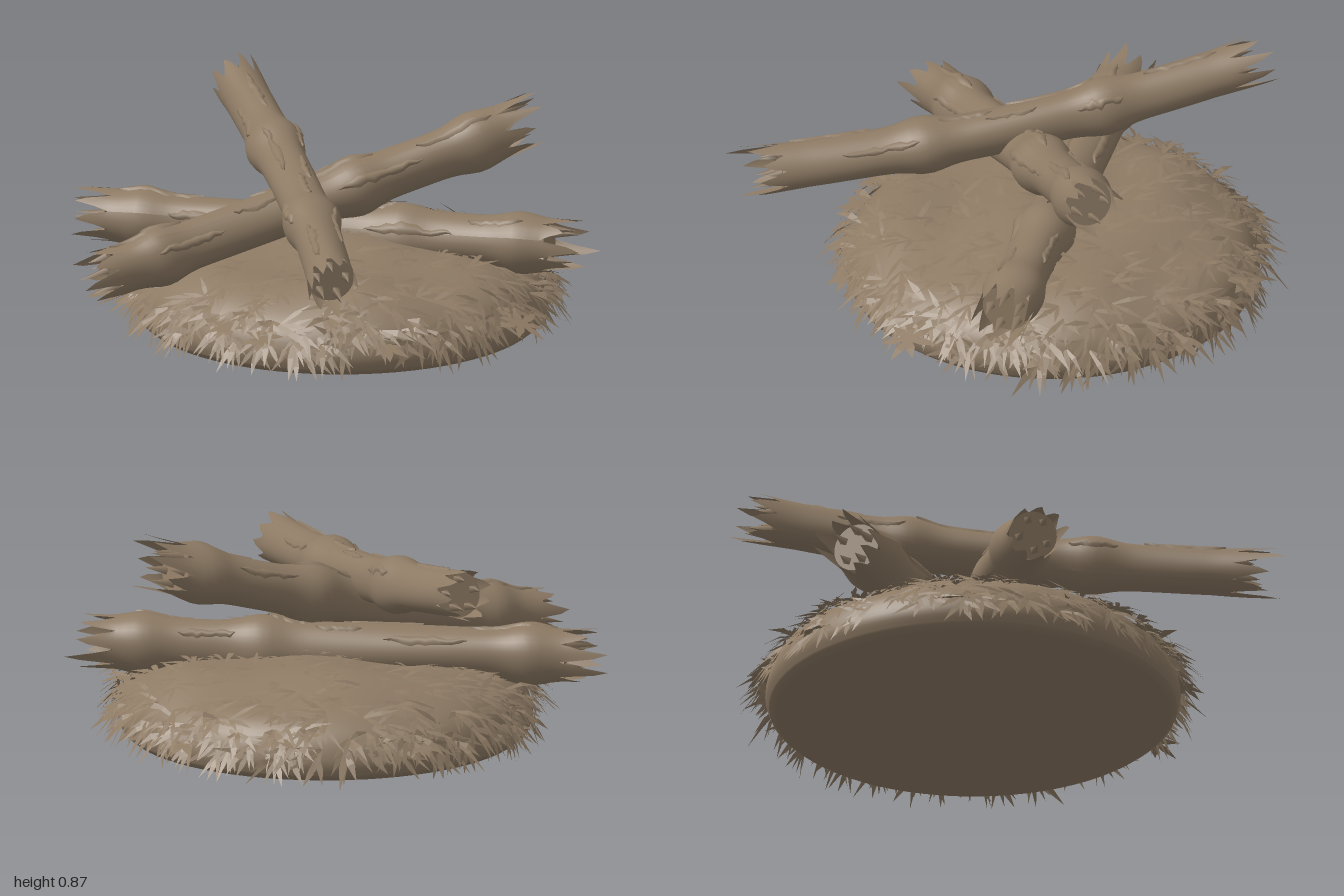
import * as THREE from 'three';

const V = (x, y, z) => new THREE.Vector3(x, y, z);

// small seeded random generator
let seed = 7;
const rnd = (a = 0, b = 1) => {
  seed = (seed * 16807) % 2147483647;
  return a + (b - a) * (seed / 2147483647);
};

// upper outline of the straw mound, from rim to crown
const outline = new THREE.SplineCurve([
  [0.765, 0.05], [0.78, 0.11], [0.745, 0.2], [0.65, 0.27], [0.48, 0.325], [0.25, 0.35], [0, 0.355],
].map(([r, y]) => new THREE.Vector2(r, y)));

// soft lumps on the mound, fading out towards the rim
const lump = (x, z) => {
  const fade = THREE.MathUtils.clamp((0.78 - Math.hypot(x, z)) * 5, 0, 1);
  return fade * (0.018 * Math.sin(8 * x + 1) * Math.cos(7 * z) + 0.012 * Math.sin(13 * z + 5 * x));
};

const moundPoint = (s, a) => {
  const p = outline.getPoint(s), x = p.x * Math.sin(a), z = p.x * Math.cos(a);
  return V(x, p.y + lump(x, z), z);
};

function buildMound(mat) {
  const base = [[0, 0.003], [0.4, 0.007], [0.66, 0.016], [0.74, 0.03]].map(([r, y]) => new THREE.Vector2(r, y));
  const geo = new THREE.LatheGeometry([...base, ...outline.getPoints(28)], 72);
  const p = geo.attributes.position;
  for (let i = 0; i < p.count; i++) {
    if (p.getY(i) > 0.12) p.setY(i, p.getY(i) + lump(p.getX(i), p.getZ(i)));
  }
  geo.computeVertexNormals();
  const mesh = new THREE.Mesh(geo, mat);
  mesh.name = 'strawMound';
  return mesh;
}

// one bent leaf, appended as three triangles
function addBlade(out, root, dir, normal, length, width, sag) {
  const side = dir.clone().cross(normal).normalize().multiplyScalar(width / 2);
  const mid = root.clone().addScaledVector(dir, length * 0.5);
  const tip = root.clone().addScaledVector(dir, length);
  tip.y = Math.max(0.03, tip.y - sag);
  const a = root.clone().addScaledVector(side, 0.45), b = root.clone().addScaledVector(side, -0.45);
  const c = mid.clone().add(side), d = mid.clone().sub(side);
  for (const v of [a, c, b, b, c, d, d, c, tip]) out.push(v.x, v.y, v.z);
}

// a fan of leaves growing from one point of the mound
function addTuft(out, s, angle, { count, length, width, lift, spread, turn, sag }) {
  const p = moundPoint(s, angle);
  const down = moundPoint(Math.max(s - 0.03, 0), angle).sub(moundPoint(Math.min(s + 0.03, 1), angle)).normalize();
  const around = V(Math.cos(angle), 0, -Math.sin(angle));
  const normal = around.clone().cross(down).normalize();
  if (normal.y < 0) normal.negate();
  p.addScaledVector(normal, 0.005);
  for (let i = 0; i < count; i++) {
    const f = turn + (i - (count - 1) / 2) * spread + rnd(-0.2, 0.2);
    const dir = down.clone().multiplyScalar(Math.cos(f)).addScaledVector(around, Math.sin(f))
      .addScaledVector(normal, lift * rnd(0.3, 1.3)).normalize();
    addBlade(out, p, dir, normal, length * rnd(0.65, 1.2), width * rnd(0.75, 1.25), sag);
  }
}

// a flat star of leaves hanging out beyond the rim
function addStar(out, r, y, angle, size) {
  const outward = V(Math.sin(angle), -0.35, Math.cos(angle)).normalize();
  const around = V(Math.cos(angle), 0, -Math.sin(angle));
  const normal = outward.clone().cross(around).normalize();
  const centre = V(r * Math.sin(angle), y, r * Math.cos(angle));
  for (let i = 0; i < 7; i++) {
    const f = i * 0.9 + rnd(-0.15, 0.15);
    const dir = outward.clone().multiplyScalar(Math.cos(f)).addScaledVector(around, Math.sin(f));
    addBlade(out, centre, dir, normal, size * rnd(0.8, 1.15), 0.035, 0.005);
  }
}

function buildStraw(mat) {
  const out = [];
  // leaves lying over the top
  for (let i = 0; i < 400; i++) {
    const r = Math.sqrt((i + rnd()) / 400);
    addTuft(out, THREE.MathUtils.clamp(1.04 - 0.84 * r, 0.2, 0.96), i * 2.39996 + rnd(-0.2, 0.2), {
      count: 3, length: 0.12, width: 0.021, lift: 0.22, spread: 0.65, turn: rnd(-1.6, 1.6), sag: 0.006,
    });
  }
  // drooping fringe around the rim
  for (let i = 0; i < 90; i++) {
    addTuft(out, rnd(0.18, 0.42), (i / 90) * Math.PI * 2 + rnd(-0.04, 0.04), {
      count: 4, length: 0.13, width: 0.023, lift: 0.65, spread: 0.5, turn: rnd(-0.5, 0.5), sag: 0.025,
    });
  }
  // stars at the rim, the largest on the left side
  addStar(out, 0.87, 0.17, 1.57, 0.12);
  for (const a of [0.1, 0.3, 0.9, 2.2, 2.9, 3.4, 4.1, 4.75, 5.5]) addStar(out, 0.79, rnd(0.13, 0.2), a, 0.085);

  const geo = new THREE.BufferGeometry();
  geo.setAttribute('position', new THREE.Float32BufferAttribute(out, 3));
  geo.computeVertexNormals();
  const mesh = new THREE.Mesh(geo, mat);
  mesh.name = 'strawLeaves';
  return mesh;
}

function buildLog({ name, from, to, bow, radius, knots }, mat) {
  const group = new THREE.Group();
  group.name = name;
  const axis = to.clone().sub(from), L = axis.length(), SIDES = 36, BREAK = 0.19;
  group.position.copy(from).add(to).multiplyScalar(0.5);
  group.quaternion.setFromUnitVectors(V(0, 1, 0), axis.normalize());
  const toLocal = group.quaternion.clone().invert();

  // swollen knots along the log and slightly flared ends
  const radiusAt = (y, a) => {
    const t = y / L + 0.5;
    let k = 1 + 0.03 * Math.sin(3 * a + 9 * t);
    for (const q of knots) k += 0.26 * Math.exp(-(((t - q) / 0.04) ** 2));
    return radius * (k + 0.12 * Math.max(0, Math.abs(2 * t - 1) - 0.75) * 4);
  };

  // point inside the gently bowed log
  const localBow = bow.clone().applyQuaternion(toLocal);
  const logPoint = (r, y, a) =>
    V(r * Math.sin(a), y, r * Math.cos(a)).addScaledVector(localBow, 1 - (2 * y / L) ** 2);

  // splintered ends: each column of the tube stops at its own length
  const teeth = [0, 1].map(() => {
    const lengths = Array.from({ length: SIDES / 4 }, () => rnd(0.4, 1));
    return Array.from({ length: SIDES }, (_, j) => lengths[Math.floor(j / 4)] * [0, 0.7, 1, 0.4][j % 4]);
  });
  const geo = new THREE.CylinderGeometry(1, 1, 1, SIDES, 56, true);
  const p = geo.attributes.position;
  for (let i = 0; i < p.count; i++) {
    const j = i % (SIDES + 1), a = (j / SIDES) * Math.PI * 2, t = p.getY(i);
    const core = L / 2 - BREAK, u = Math.abs(t) * 2;
    const half = core + BREAK * teeth[t > 0 ? 0 : 1][j % SIDES];
    const y = Math.sign(t) * (u < 0.86 ? (u / 0.86) * core : core + ((u - 0.86) / 0.14) * (half - core));
    const v = logPoint(radiusAt(y, a), y, a);
    p.setXYZ(i, v.x, v.y, v.z);
  }
  geo.computeVertexNormals();
  const bark = new THREE.Mesh(geo, mat);
  bark.name = 'logBark';
  group.add(bark);

  // recessed broken wood and inner splinters at both ends
  for (const s of [-1, 1]) {
    const y = s * (L / 2 - BREAK * 0.92);
    const core = new THREE.Mesh(new THREE.CircleGeometry(radius * 0.99, 24), mat);
    core.rotation.x = -s * Math.PI / 2;
    core.position.copy(logPoint(0, y, 0));
    core.name = 'brokenCore';
    group.add(core);
    for (let i = 0; i < 5; i++) {
      const h = rnd(0.06, 0.14);
      const splinter = new THREE.Mesh(new THREE.ConeGeometry(0.018, h, 4), mat);
      splinter.position.copy(logPoint(radius * 0.65, y + s * h / 2, i * 1.26 + rnd(0, 0.4)));
      splinter.rotation.x = s < 0 ? Math.PI : 0;
      splinter.name = 'splinter';
      group.add(splinter);
    }
  }

  // raised ragged bark flakes, spread around the upper side
  const up = V(0, 1, 0).applyQuaternion(toLocal);
  const top = Math.atan2(up.x, up.z);
  for (let i = 0; i < 9; i++) {
    const len = rnd(0.16, 0.36), mid = L * (-0.32 + 0.08 * i), a0 = top + [0, 1.1, -0.9, 0.5, -0.4][i % 5];
    const flake = new THREE.PlaneGeometry(1, 1, 4, 12), q = flake.attributes.position;
    const edges = Array.from({ length: 13 }, () => [rnd(0.5, 1), rnd(-0.06, 0.06)]);
    for (let k = 0; k < q.count; k++) {
      const u = q.getX(k) * 2, v = q.getY(k), e = edges[Math.floor(k / 5)];
      const a = a0 + e[1] + u * 0.27 * e[0] * Math.sqrt(Math.max(0, 1 - 4 * v * v));
      const y = mid + v * len;
      const w = logPoint(radiusAt(y, a) + (Math.abs(u) > 0.9 ? -0.002 : 0.007), y, a);
      q.setXYZ(k, w.x, w.y, w.z);
    }
    flake.computeVertexNormals();
    const mesh = new THREE.Mesh(flake, mat);
    mesh.name = 'barkFlake';
    group.add(mesh);
  }
  return group;
}

export function createModel() {
  seed = 7;
  const wood = new THREE.MeshStandardMaterial({ color: 0x8d7a64, side: THREE.DoubleSide });
  wood.name = 'dryBrown';

  const model = new THREE.Group();
  model.name = 'logPile';

  const nest = new THREE.Group();
  nest.name = 'strawBed';
  nest.position.set(0.02, 0, -0.04);
  nest.add(buildMound(wood), buildStraw(wood));
  model.add(nest);

  const logs = [
    { name: 'upperLog', from: V(-0.84, 0.745, -0.43), to: V(0.76, 0.48, 0.91),
      bow: V(0.02, -0.03, -0.055), radius: 0.088, knots: [0.33, 0.66] },
    { name: 'leaningLog', from: V(-0.46, 0.305, 0.97), to: V(0.51, 0.775, -0.66),
      bow: V(-0.06, -0.045, 0), radius: 0.092, knots: [0.2, 0.62, 0.86] },
    { name: 'lowerLog', from: V(-0.98, 0.345, 0.37), to: V(0.9, 0.37, -0.46),
      bow: V(0, 0, 0), radius: 0.094, knots: [0.15, 0.64, 0.86] },
  ];
  for (const log of logs) model.add(buildLog(log, wood));
  return model;
}
